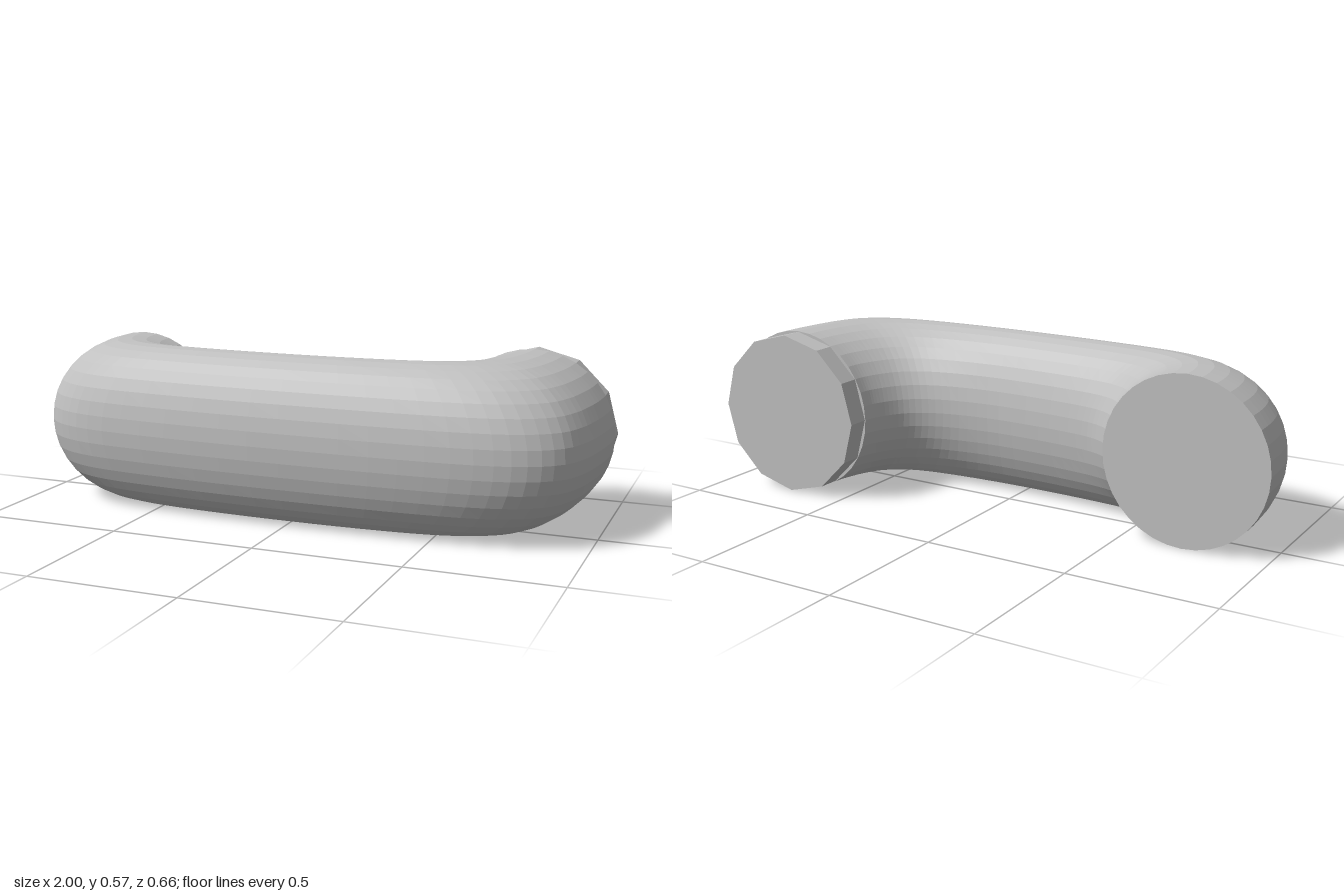
import * as THREE from 'three';

const R = 0.285; // half height of the pipe

// Matching points (x, z) along the outer and inner edge of the bent pipe
const OUTER = [[-1, -0.13], [-0.995, -0.03], [-0.975, 0.08], [-0.93, 0.175], [-0.85, 0.245], [-0.72, 0.29],
  [-0.5, 0.313], [-0.2, 0.325], [0.12, 0.325], [0.42, 0.318], [0.66, 0.3], [0.82, 0.26], [0.92, 0.185],
  [0.965, 0.08], [0.985, -0.03], [0.997, -0.14], [1, -0.255]];
const INNER = [[-0.43, -0.13], [-0.427, -0.11], [-0.418, -0.09], [-0.4, -0.067], [-0.37, -0.048], [-0.32, -0.03],
  [-0.24, -0.018], [-0.12, -0.01], [0.04, -0.008], [0.16, -0.02], [0.25, -0.04], [0.32, -0.07], [0.37, -0.11],
  [0.4, -0.155], [0.418, -0.195], [0.427, -0.225], [0.43, -0.255]];

const edgeCurve = (points) => new THREE.SplineCurve(points.map(([x, z]) => new THREE.Vector2(x, z)));

// Elliptical sections spanning the two edges, joined into a capped tube
function pipeGeometry(steps, sides) {
  const outer = edgeCurve(OUTER), inner = edgeCurve(INNER);
  const positions = [], index = [], centres = [];
  for (let i = 0; i <= steps; i++) {
    const o = outer.getPoint(i / steps), n = inner.getPoint(i / steps);
    const c = o.clone().add(n).multiplyScalar(0.5), d = o.clone().sub(c);
    centres.push(c);
    for (let j = 0; j < sides; j++) {
      const a = (j / sides) * Math.PI * 2;
      positions.push(c.x + d.x * Math.cos(a), R + R * Math.sin(a), c.y + d.y * Math.cos(a));
    }
  }
  for (let i = 0; i < steps; i++) {
    for (let j = 0; j < sides; j++) {
      const k = (j + 1) % sides;
      const a = i * sides + j, b = a + sides, c = i * sides + k, d = c + sides;
      index.push(a, b, c, b, d, c);
    }
  }
  // flat end caps
  const first = positions.length / 3, last = first + 1, row = steps * sides;
  positions.push(centres[0].x, R, centres[0].y, centres[steps].x, R, centres[steps].y);
  for (let j = 0; j < sides; j++) {
    const k = (j + 1) % sides;
    index.push(first, j, k, last, row + k, row + j);
  }
  const indexed = new THREE.BufferGeometry();
  indexed.setAttribute('position', new THREE.Float32BufferAttribute(positions, 3));
  indexed.setIndex(index);
  const geometry = indexed.toNonIndexed();
  geometry.computeVertexNormals();
  return geometry;
}

export function createModel() {
  const group = new THREE.Group();
  group.name = 'bentPipe';
  const grey = new THREE.MeshStandardMaterial({ color: 0xc0c0c0, flatShading: true });
  grey.name = 'light grey';

  const pipe = new THREE.Mesh(pipeGeometry(48, 36), grey);
  pipe.name = 'pipe';
  group.add(pipe);

  // Coarse twelve-sided collar on the longer end
  const collar = new THREE.Mesh(new THREE.CylinderGeometry(0.283, 0.283, 0.08, 12), grey);
  collar.name = 'endCollar';
  collar.rotation.x = Math.PI / 2;
  collar.position.set(0.715, R, -0.29);
  group.add(collar);

  return group;
}
